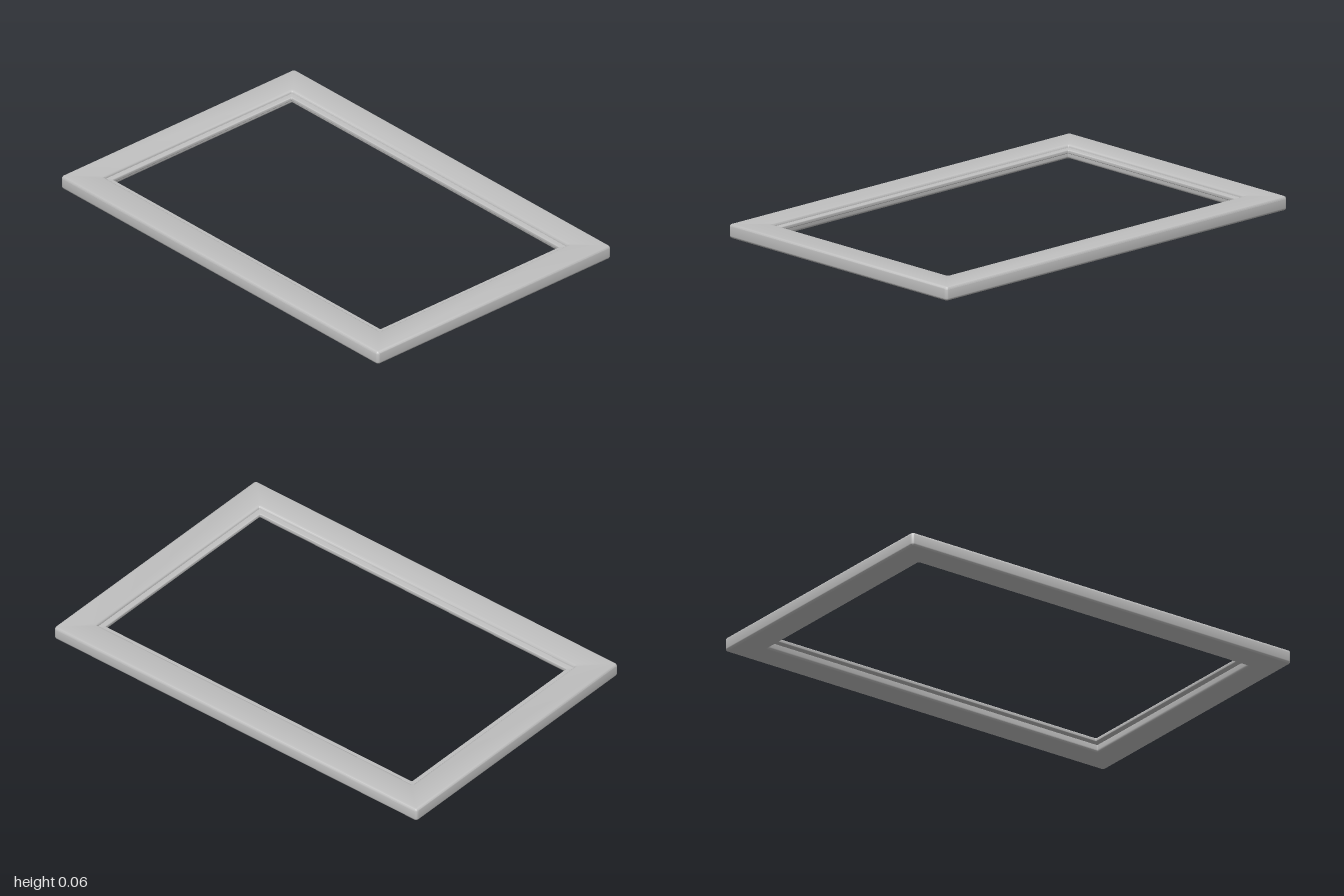
import * as THREE from 'three';
import { toCreasedNormals } from 'three/addons/utils/BufferGeometryUtils.js';

// Rectangle outline with rounded corners, given by half sizes
function roundedRect(path, w, d, r) {
  path.moveTo(w, -d + r);
  path.lineTo(w, d - r);
  path.absarc(w - r, d - r, r, 0, Math.PI / 2);
  path.absarc(-w + r, d - r, r, Math.PI / 2, Math.PI);
  path.absarc(-w + r, -d + r, r, Math.PI, Math.PI * 1.5);
  path.absarc(w - r, -d + r, r, Math.PI * 1.5, Math.PI * 2);
  return path;
}

// Flat rectangular ring with softened edges, lying between heights y0 and y1
function ring(name, outer, inner, radii, y0, y1, bevel, material) {
  const shape = roundedRect(new THREE.Shape(), ...outer, radii[0]);
  shape.holes.push(roundedRect(new THREE.Path(), ...inner, radii[1]));
  const geometry = new THREE.ExtrudeGeometry(shape, {
    depth: y1 - y0 - 2 * bevel,
    curveSegments: 4,
    bevelEnabled: true,
    bevelThickness: bevel,
    bevelSize: bevel,
    bevelOffset: -bevel,
    bevelSegments: 4,
  });
  geometry.rotateX(-Math.PI / 2);
  geometry.translate(0, y0 + bevel, 0);
  const mesh = new THREE.Mesh(toCreasedNormals(geometry, Math.PI / 6), material);
  mesh.name = name;
  return mesh;
}

export function createModel() {
  const group = new THREE.Group();
  group.name = 'rectangularFrame';
  const grey = new THREE.MeshStandardMaterial({ color: 0xc0c0c0 });
  grey.name = 'light grey';

  // Wide outer border
  group.add(ring('border', [1, 0.667], [0.868, 0.535], [0.014, 0.004], 0, 0.0625, 0.012, grey));
  // Thin recessed lip around the opening
  group.add(ring('innerLip', [0.895, 0.562], [0.843, 0.51], [0.01, 0.004], 0.033, 0.05, 0.004, grey));
  return group;
}
